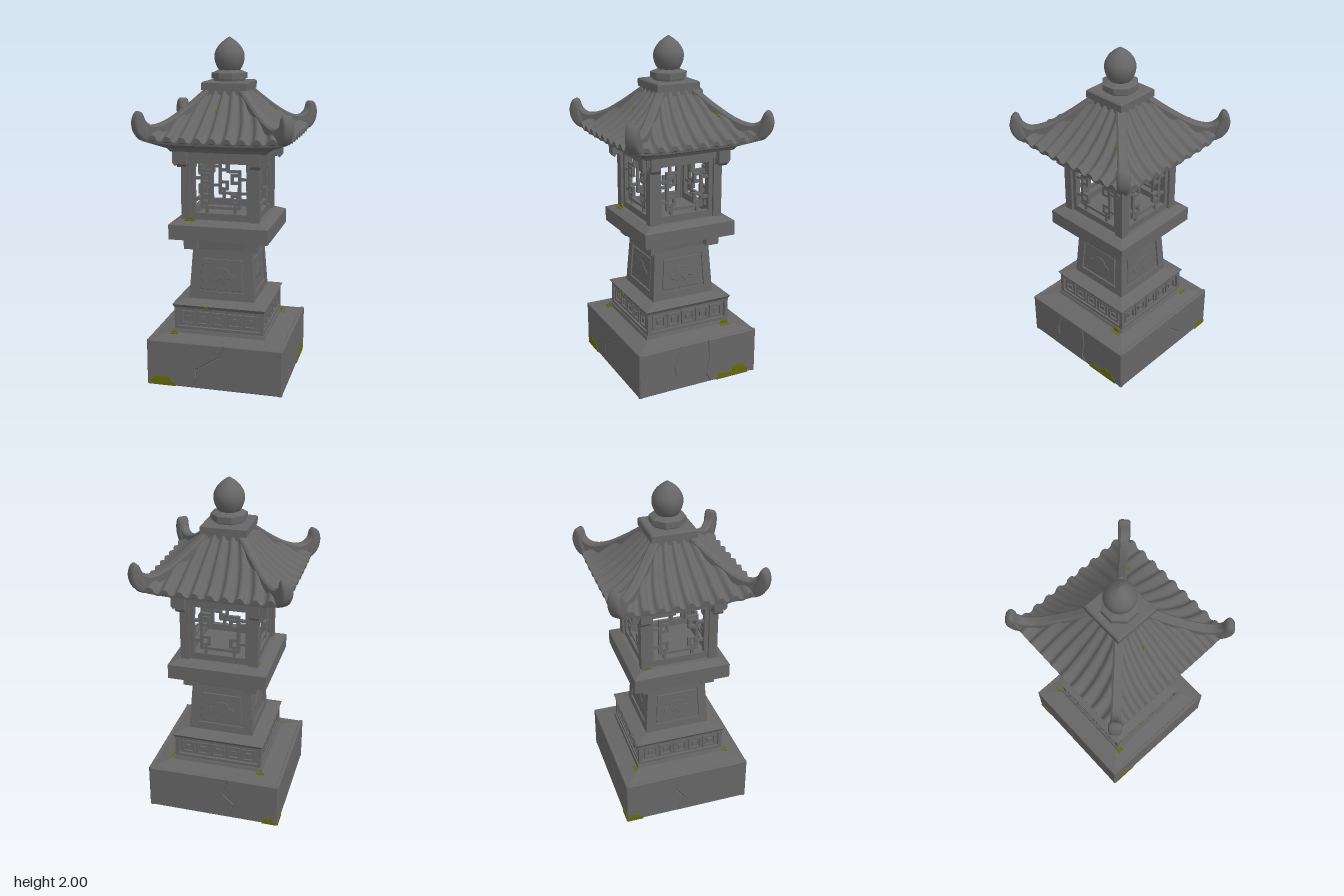
import * as THREE from 'three';
import { toCreasedNormals } from 'three/addons/utils/BufferGeometryUtils.js';

export function createModel() {
  const root = new THREE.Group();
  root.name = 'stoneLantern';
  const stone = new THREE.MeshStandardMaterial({ color: 0x666666 });
  stone.name = 'stone';
  const moss = new THREE.MeshStandardMaterial({ color: 0x646a08 });
  moss.name = 'moss';

  const add = (parent, name, geo, x = 0, y = 0, z = 0, mat = stone) => {
    const m = new THREE.Mesh(geo, mat);
    m.name = name;
    m.position.set(x, y, z);
    parent.add(m);
    return m;
  };
  // Square block that may taper: half widths at bottom and top
  const block = (name, hb, ht, y0, y1, ratioZ = 1) => {
    const g = new THREE.CylinderGeometry(ht * Math.SQRT2, hb * Math.SQRT2, y1 - y0, 4).rotateY(Math.PI / 4).toNonIndexed();
    g.scale(1, 1, ratioZ);
    g.computeVertexNormals();
    return add(root, name, g, 0, (y0 + y1) / 2, 0);
  };
  const box = (parent, name, x0, x1, y0, y1, z0, z1) =>
    add(parent, name, new THREE.BoxGeometry(x1 - x0, y1 - y0, z1 - z0), (x0 + x1) / 2, (y0 + y1) / 2, (z0 + z1) / 2);
  const vectors = (pts) => pts.map((p) => new THREE.Vector2(...p));
  const rect = (x0, x1, y0, y1) => [[x0, y0], [x1, y0], [x1, y1], [x0, y1]];
  const smooth = (pts, n) => new THREE.SplineCurve(vectors([...pts, pts[0]])).getPoints(n).slice(0, -1).map((p) => [p.x, p.y]);
  const plate = (outer, depth, holes = [], bevel = 0, bevelSegments = 1) => {
    const s = new THREE.Shape(vectors(outer));
    s.holes = holes.map((h) => new THREE.Path(vectors(h)));
    return new THREE.ExtrudeGeometry(s, {
      depth, bevelEnabled: bevel > 0, bevelThickness: bevel, bevelSize: bevel, bevelOffset: -bevel, bevelSegments,
    });
  };

  // One group per side of the lantern
  const sides = ['front', 'left', 'back', 'right'].map((label, k) => {
    const g = new THREE.Group();
    g.name = label + 'Side';
    g.rotation.y = k * Math.PI / 2;
    root.add(g);
    return g;
  });

  // Base: core faced with slabs, the gaps between slabs forming cracks
  block('baseCore', 0.385, 0.385, 0, 0.272, 0.96);
  block('baseTop', 0.394, 0.28, 0.269, 0.295, 0.965);
  const cracks = [
    [[[-0.13, 0], [-0.1, 0.06], [-0.11, 0.11], [-0.02, 0.17], [0.03, 0.2], [0.06, 0.275]]],
    [[[-0.21, 0], [-0.15, 0.09], [-0.16, 0.15], [-0.12, 0.275]], [[0.08, 0], [0.05, 0.05], [0.07, 0.16], [0.06, 0.275]]],
    [[[0.1, 0], [0.13, 0.1], [0.06, 0.17], [0.09, 0.275]]],
    [[[-0.06, 0], [-0.02, 0.1], [-0.08, 0.18], [-0.04, 0.275]]],
  ];
  sides.forEach((side, k) => {
    const hw = k % 2 ? 0.385 : 0.402, dist = k % 2 ? 0.402 : 0.385;
    const lines = [[[-hw, 0], [-hw, 0.272]], ...cracks[k], [[hw, 0], [hw, 0.275]]];
    for (let i = 0; i + 1 < lines.length; i++)
      add(side, 'baseSlab', plate([...lines[i + 1], ...[...lines[i]].reverse()], 0.014, [], 0.005), 0, 0, dist - 0.019);
  });

  // Lower tier with a row of square fret panels
  block('tierFoot', 0.282, 0.274, 0.285, 0.312);
  block('tierCore', 0.251, 0.249, 0.31, 0.45);
  block('tierCap', 0.265, 0.278, 0.443, 0.465);
  block('tierSlope', 0.278, 0.195, 0.465, 0.485);
  const tierFrame = plate(rect(-0.267, 0.267, 0.31, 0.445), 0.017, [rect(-0.245, 0.245, 0.33, 0.432)]);
  const fret = plate(rect(-0.042, 0.042, -0.042, 0.042), 0.013, [rect(-0.028, 0.028, -0.028, 0.028)]);
  // Pedestal panel frame and cloud relief
  block('pedestalCore', 0.186, 0.165, 0.48, 0.79);
  const panelFrame = plate([[-0.196, 0], [0.196, 0], [0.176, 0.31], [-0.176, 0.31]], 0.012,
    [[[-0.142, 0.05], [0.142, 0.05], [0.13, 0.26], [-0.13, 0.26]]]);
  const panelInset = plate([[-0.13, 0.062], [0.13, 0.062], [0.119, 0.248], [-0.119, 0.248]], 0.007, [], 0.002);
  const cloud = plate(smooth([[-0.035, 0.11], [-0.075, 0.125], [-0.08, 0.155], [-0.05, 0.165], [-0.035, 0.19], [0, 0.2],
    [0.035, 0.19], [0.05, 0.165], [0.08, 0.155], [0.075, 0.125], [0.035, 0.13], [0.015, 0.105], [-0.01, 0.13]], 52), 0.006, [], 0.002);
  sides.forEach((side) => {
    add(side, 'tierFrame', tierFrame, 0, 0, 0.25);
    for (let i = -2; i <= 2; i++) {
      add(side, 'fretRing', fret, i * 0.094, 0.381, 0.249);
      box(side, 'fretCentre', i * 0.094 - 0.014, i * 0.094 + 0.014, 0.367, 0.395, 0.245, 0.261);
    }
    const panel = new THREE.Group();
    panel.name = 'pedestalPanel';
    panel.position.set(0, 0.48, 0.185);
    panel.rotation.x = -Math.atan2(0.021, 0.31);
    side.add(panel);
    add(panel, 'panelFrame', panelFrame);
    add(panel, 'panelInset', panelInset);
    add(panel, 'cloudRelief', cloud, 0, 0, 0.005);
  });

  // Corbels and platform
  block('corbelCore', 0.178, 0.185, 0.785, 0.865);
  for (const x of [-0.18, 0.18]) for (const z of [-0.18, 0.18])
    box(root, 'cornerCorbel', x - 0.04, x + 0.04, 0.79, 0.865, z - 0.04, z + 0.04);
  block('platform', 0.291, 0.291, 0.86, 0.947, 0.985);
  block('platformTop', 0.291, 0.24, 0.947, 0.97, 0.985);

  // Light chamber: corner posts, window frames and lattice
  for (const x of [-0.203, 0.203]) for (const z of [-0.203, 0.203])
    box(root, 'cornerPost', x - 0.026, x + 0.026, 0.96, 1.34, z - 0.026, z + 0.026);
  const windowFrame = plate(rect(-0.185, 0.185, 0.965, 1.34), 0.03, [rect(-0.152, 0.152, 1.01, 1.3)]);
  const ring = plate(rect(-0.03, 0.03, -0.03, 0.03), 0.02, [rect(-0.014, 0.014, -0.014, 0.014)]);
  const beam = plate([[-0.277, 1.372], [-0.277, 1.3], [-0.262, 1.282], [-0.246, 1.305], [-0.23, 1.285], [-0.2, 1.31], [-0.18, 1.325],
    [0.18, 1.325], [0.2, 1.31], [0.23, 1.285], [0.246, 1.305], [0.262, 1.282], [0.277, 1.3], [0.277, 1.372]].reverse(), 0.056);
  sides.forEach((side) => {
    add(side, 'windowFrame', windowFrame, 0, 0, 0.184);
    const bar = (x0, x1, y0, y1) => box(side, 'latticeBar', x0, x1, y0, y1, 0.19, 0.208);
    bar(-0.115, 0.115, 1.036, 1.052);
    for (const s of [-1, 1]) {
      const span = (a, b, y0, y1) => bar(Math.min(s * a, s * b), Math.max(s * a, s * b), y0, y1);
      span(0.1, 0.117, 1.04, 1.265);
      span(0.035, 0.117, 1.248, 1.264);
      span(0.035, 0.05, 1.25, 1.305);
      for (const y of [1.092, 1.212]) {
        add(side, 'latticeSquare', ring, s * 0.087, y, 0.189);
        span(0.105, 0.155, y - 0.008, y + 0.008);
      }
      span(0.075, 0.091, 1.005, 1.07);
    }
    add(side, 'bracketBeam', beam, 0, 0, 0.184);
    for (const x of [-0.238, 0.238]) box(side, 'bracketBoss', x - 0.018, x + 0.018, 1.322, 1.358, 0.235, 0.248);
  });
  block('ceiling', 0.225, 0.225, 1.335, 1.375);
  block('roofSeat', 0.275, 0.29, 1.37, 1.392);

  // Roof: flat soffit, then concave faces of rolled tiles that narrow toward the cap
  const EAVE = 0.412, TOP = 0.115, COLS = 160, ROWS = 14;
  const rows = [[0.2, 1.386, 0, 0], [0.28, 1.386, 0, 0], [0.395, 1.424, 0, 0], [0.397, 1.434, 0, 0], [0.409, 1.435, 0, 0.5]];
  const SOFFIT = rows.length;
  for (let i = 0; i <= ROWS; i++) {
    const t = i / ROWS;
    rows.push([EAVE + (TOP - EAVE) * t, 1.455 + 0.24 * Math.pow(t, 1.4), t, 1]);
  }
  const pos = [], index = [];
  rows.forEach(([d, y, t, roll], r) => {
    for (let c = 0; c <= COLS; c++) {
      const squeeze = 1 - 0.4 * t * t, u = c / COLS * 2 - 1;
      const eaveX = r < SOFFIT ? u * d : THREE.MathUtils.clamp(u * EAVE, -d / squeeze, d / squeeze);
      const wave = Math.cos(eaveX * 2 * Math.PI / 0.083);
      const bump = 0.015 * Math.sign(wave) * Math.pow(Math.abs(wave), 0.6) * (1 - 0.3 * t);
      const lift = 0.02 * Math.pow(Math.abs(eaveX) / EAVE, 4) * (1 - t);
      pos.push(eaveX * squeeze, y + roll * bump + (r > 1 ? lift : 0), d + roll * bump * 0.15);
      if (r && c) {
        const b = r * (COLS + 1) + c, a = b - COLS - 1;
        index.push(a - 1, a, b, a - 1, b, b - 1);
      }
    }
  });
  let tiles = new THREE.BufferGeometry();
  tiles.setAttribute('position', new THREE.Float32BufferAttribute(pos, 3));
  tiles.setIndex(index);
  tiles = toCreasedNormals(tiles, 0.6);

  // Hip ridges with upturned, rounded ends
  const ridge = plate(smooth([[0.15, 1.715], [0.28, 1.622], [0.4, 1.552], [0.49, 1.528], [0.54, 1.55], [0.565, 1.6],
    [0.59, 1.6], [0.605, 1.56], [0.603, 1.51], [0.583, 1.462], [0.55, 1.442], [0.48, 1.452], [0.3, 1.53], [0.15, 1.64]], 60),
  0.034, [], 0.01).translate(0, 0, -0.017);
  const knob = toCreasedNormals(plate(smooth([[0.548, 1.54], [0.56, 1.59], [0.58, 1.608], [0.602, 1.59], [0.615, 1.545], [0.606, 1.493],
    [0.573, 1.45], [0.54, 1.445], [0.527, 1.48]], 28), 0.034, [], 0.018, 3).translate(0, 0, -0.017), 0.7);
  sides.forEach((side) => {
    add(side, 'roofTiles', tiles);
    add(side, 'hipRidge', ridge).rotation.y = Math.PI / 4;
    add(side, 'ridgeEnd', knob).rotation.y = Math.PI / 4;
  });

  // Roof cap, neck and bud finial
  block('capFoot', 0.12, 0.12, 1.66, 1.71);
  block('roofCap', 0.132, 0.132, 1.705, 1.745);
  block('roofCapSlope', 0.132, 0.124, 1.745, 1.752);
  const octagon = (name, r0, r1, y0, y1) => {
    const g = new THREE.CylinderGeometry(r1, r0, y1 - y0, 8).rotateY(Math.PI / 8).toNonIndexed();
    g.computeVertexNormals();
    add(root, name, g, 0, (y0 + y1) / 2, 0);
  };
  octagon('neck', 0.088, 0.094, 1.745, 1.765);
  octagon('neckCollar', 0.104, 0.104, 1.765, 1.798);
  octagon('neckTop', 0.1, 0.06, 1.798, 1.815);
  const bud = new THREE.SplineCurve(vectors([[0.05, 1.8], [0.072, 1.83], [0.086, 1.872], [0.084, 1.91], [0.064, 1.948], [0.033, 1.978], [0, 2]]));
  add(root, 'budFinial', new THREE.LatheGeometry(bud.getPoints(24), 32));

  // Moss patches on the walls: side, centre x, bottom y, width, height, distance
  const patch = [[-0.5, 0], [0.5, 0], [0.47, 0.4], [0.32, 0.55], [0.24, 0.92], [0.02, 0.85], [-0.14, 1], [-0.27, 0.8], [-0.33, 0.5], [-0.46, 0.35]];
  const patchGeo = (w, h, depth) => plate(patch.map(([a, b]) => [a * w, b * h]), depth);
  [[0, -0.31, 0, 0.165, 0.06, 0.382], [1, 0.27, 0, 0.13, 0.072, 0.399], [1, 0.165, 0, 0.1, 0.038, 0.399],
    [2, 0.35, 0, 0.09, 0.045, 0.382], [3, -0.335, 0, 0.1, 0.045, 0.399], [0, -0.265, 0.288, 0.045, 0.016, 0.278],
    [1, 0.235, 0.29, 0.06, 0.028, 0.278], [0, -0.07, 0.442, 0.03, 0.022, 0.274],
    [0, -0.175, 0.965, 0.06, 0.02, 0.226], [3, -0.19, 0.965, 0.05, 0.018, 0.226],
  ].forEach(([k, x, y, w, h, d]) => add(sides[k], 'wallMoss', patchGeo(w, h, 0.006), x, y, d, moss));
  // Moss lying on the ledges: side, x, y, z, width
  for (const [k, x, y, z, w] of [[1, 0.235, 0.288, 0.3, 0.07], [0, -0.265, 0.288, 0.3, 0.05], [2, 0.27, 0.288, 0.3, 0.05], [0, -0.175, 0.966, 0.25, 0.06]])
    add(sides[k], 'ledgeMoss', patchGeo(w, 0.026, 0.005).rotateX(-Math.PI / 2), x, y, z, moss);
  // Moss creeping under the bottom edges: side, x, z, width, reach
  for (const [k, x, z, w, h] of [[1, 0.26, 0.4, 0.14, 0.035], [1, 0.165, 0.4, 0.08, 0.02], [0, -0.08, 0.34, 0.04, 0.035],
    [3, -0.08, 0.36, 0.05, 0.035], [2, 0.35, 0.384, 0.08, 0.025]])
    add(sides[k], 'undersideMoss', patchGeo(w, h, 0.006).rotateX(Math.PI / 2).rotateY(Math.PI), x, 0.003, z, moss);
  // Moss on the roof slope
  for (const [k, x, y, d, w] of [[1, 0.2, 1.562, 0.245, 0.03], [0, -0.02, 1.59, 0.213, 0.016]])
    add(sides[k], 'roofMoss', patchGeo(w, 0.028, 0.006), x, y, d, moss).rotation.x = -Math.PI / 4;
  return root;
}
